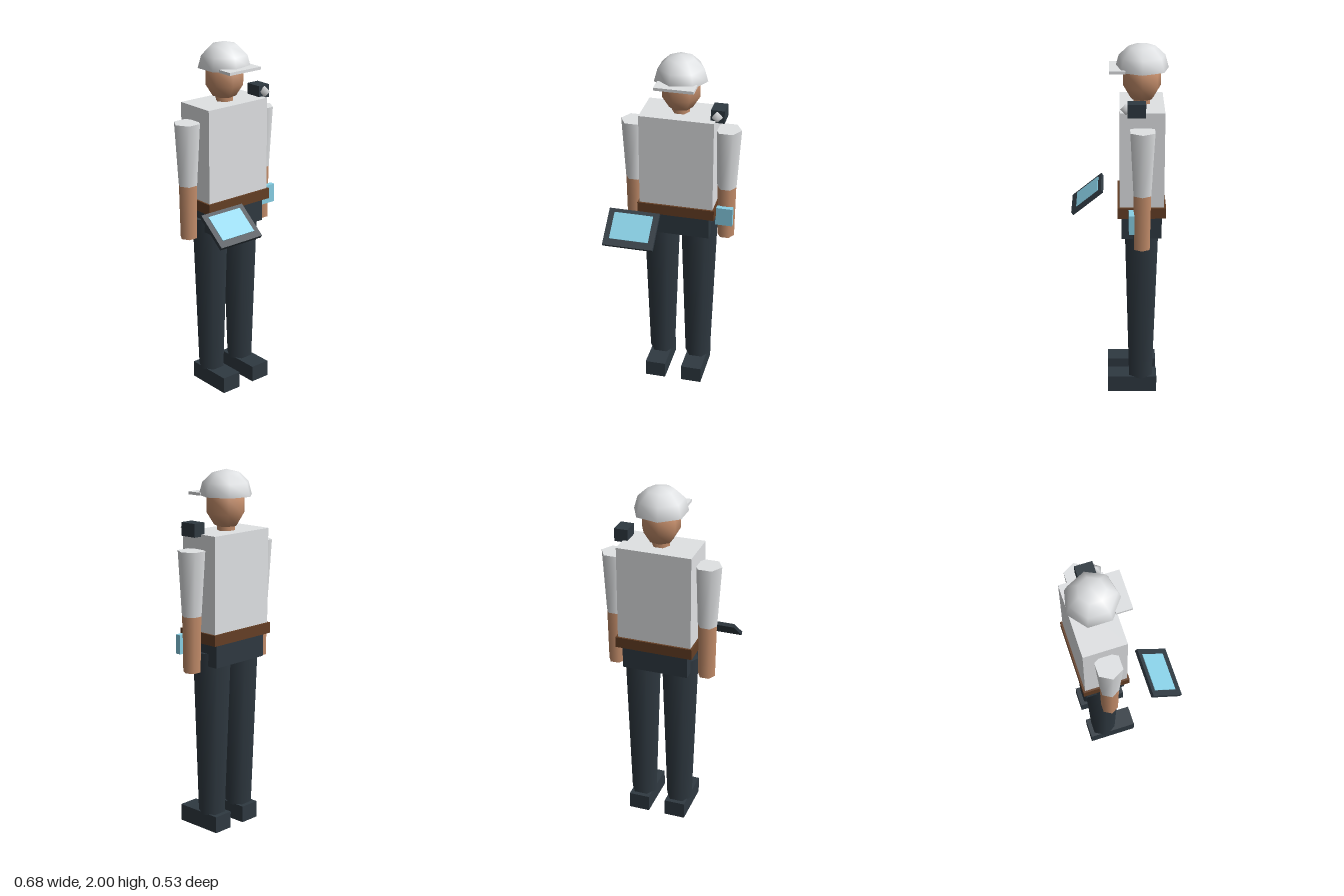
import * as THREE from 'three';

const mat = (name, color, side = THREE.FrontSide) => {
  const m = new THREE.MeshStandardMaterial({ color, side });
  m.name = name;
  return m;
};

export function createModel() {
  const white = mat('offWhite', 0xe0e2e4, THREE.DoubleSide);
  const dark = mat('darkSlate', 0x2f3941);
  const skin = mat('skin', 0xc68f6c);
  const brown = mat('beltBrown', 0x653f25);
  const cyan = mat('screenBlue', 0x88d0e6);

  const model = new THREE.Group();
  model.name = 'worker';
  // The figure stands slightly behind the centre; the tablet reaches forward.
  const body = new THREE.Group();
  body.name = 'body';
  body.position.set(0.0045, 0, -0.126);
  model.add(body);

  const add = (parent, name, geo, material, x, y, z) => {
    const mesh = new THREE.Mesh(geo, material);
    mesh.name = name;
    mesh.position.set(x, y, z);
    parent.add(mesh);
    return mesh;
  };
  const box = (parent, name, material, w, h, d, x, y, z) =>
    add(parent, name, new THREE.BoxGeometry(w, h, d), material, x, y, z);
  // Six-sided tapered limb between two heights, with a corner towards the side
  const limb = (name, material, rTop, rBottom, y0, y1, x) => {
    const geo = new THREE.CylinderGeometry(rTop, rBottom, y1 - y0, 6);
    geo.rotateY(Math.PI / 6);
    return add(body, name, geo, material, x, (y0 + y1) / 2, 0);
  };

  // Trunk
  box(body, 'torso', white, 0.413, 0.525, 0.238, 0, 1.4125, 0);
  box(body, 'belt', brown, 0.434, 0.06, 0.26, 0, 1.12, 0);
  box(body, 'hips', dark, 0.37, 0.17, 0.217, 0, 1.045, 0);

  // Arms, legs and shoes
  for (const [side, s] of [['left', 1], ['right', -1]]) {
    limb(side + 'Sleeve', white, 0.075, 0.054, 1.245, 1.595, s * 0.261);
    limb(side + 'Forearm', skin, 0.053, 0.048, 0.937, 1.245, s * 0.261);
    limb(side + 'Leg', dark, 0.106, 0.075, 0.09, 1.03, s * 0.108);
    box(body, side + 'Shoe', dark, 0.118, 0.095, 0.277, s * 0.108, 0.0475, 0.0475);
  }

  // Head
  limb('neck', skin, 0.05, 0.05, 1.66, 1.74, 0);
  const head = add(body, 'head', new THREE.SphereGeometry(0.11, 7, 5), skin, 0, 1.807, 0);
  head.scale.y = 1.17;
  head.rotation.y = Math.PI;

  // Hard hat with front brim
  const dome = new THREE.SphereGeometry(0.147, 7, 3, 0, Math.PI * 2, 0, Math.PI / 2);
  const hat = add(body, 'hatDome', dome, white, 0, 1.861, 0);
  hat.scale.y = 0.139 / 0.147;
  hat.rotation.y = Math.PI;
  box(body, 'hatBrim', white, 0.217, 0.016, 0.087, 0, 1.867, 0.1325);

  // Shoulder camera with faceted lens
  box(model, 'shoulderCamera', dark, 0.075, 0.072, 0.097, 0.222, 1.7, -0.0945);
  const lens = add(model, 'cameraLens', new THREE.SphereGeometry(0.032, 5, 2), white, 0.221, 1.702, -0.0395);
  lens.rotation.y = Math.PI;

  // Wrist device on the left forearm
  box(model, 'wristDevice', cyan, 0.095, 0.106, 0.03, 0.266, 1.087, -0.07);

  // Tablet tilted up towards the front
  const tablet = new THREE.Group();
  tablet.name = 'tablet';
  tablet.position.set(-0.2015, 1.075, 0.1745);
  tablet.rotation.x = 0.68;
  model.add(tablet);
  box(tablet, 'tabletCase', dark, 0.283, 0.02, 0.216, 0, 0, 0);
  box(tablet, 'tabletScreen', cyan, 0.218, 0.006, 0.155, 0, 0.011, -0.008);

  return model;
}
